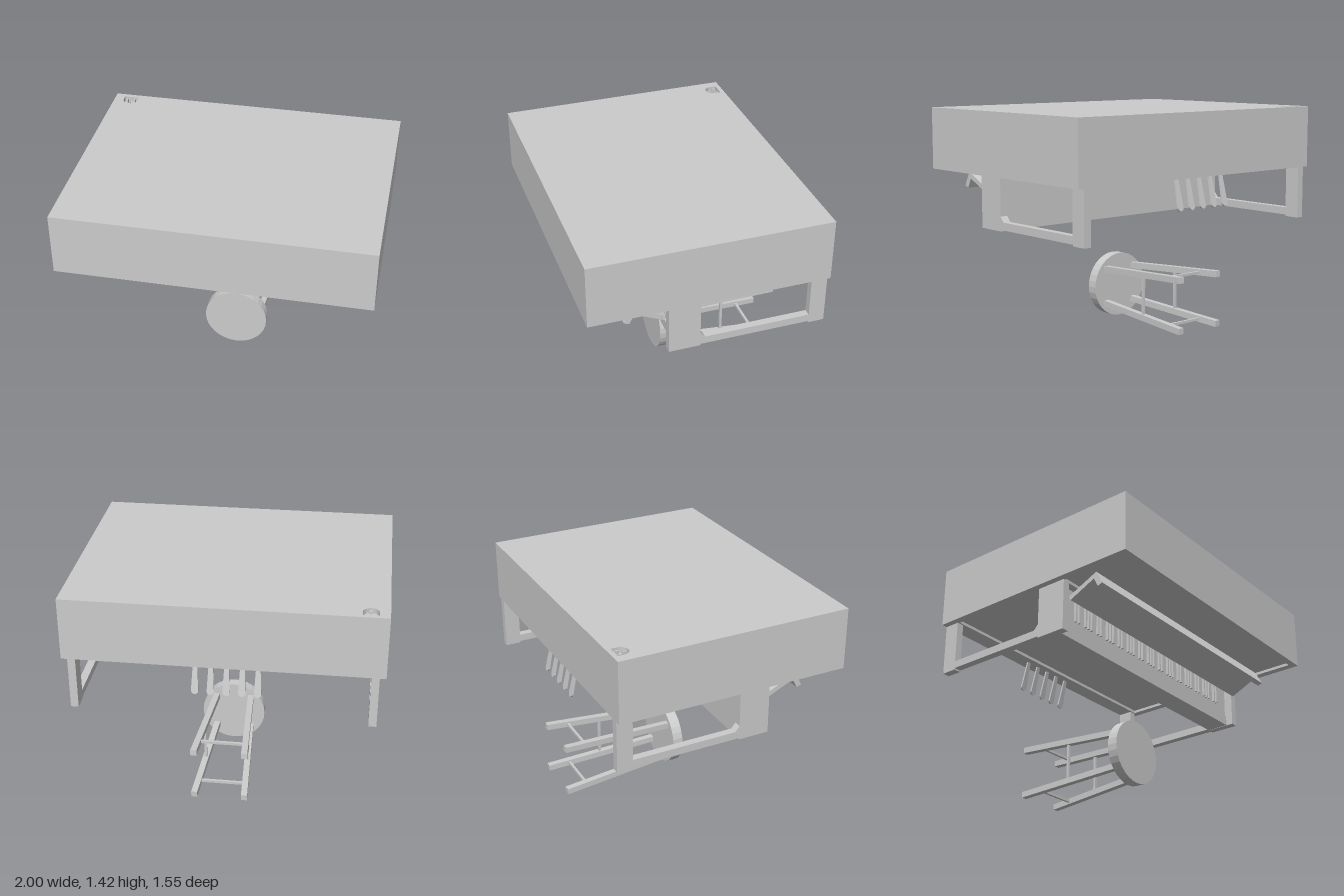
import * as THREE from 'three';

const mat = new THREE.MeshStandardMaterial({ color: 0xcccccc, flatShading: true, side: THREE.DoubleSide });

export function createModel() {
  const model = new THREE.Group();

  const add = (name, geo, parent = model) => {
    const mesh = new THREE.Mesh(geo, mat);
    mesh.name = name;
    parent.add(mesh);
    return mesh;
  };
  // Box given by its limits on each axis
  const block = (name, x0, x1, y0, y1, z0, z1, parent) =>
    add(name, new THREE.BoxGeometry(x1 - x0, y1 - y0, z1 - z0), parent)
      .position.set((x0 + x1) / 2, (y0 + y1) / 2, (z0 + z1) / 2);
  // Square bar running between two points
  const bar = (name, a, b, t, parent) => {
    const mesh = add(name, new THREE.BoxGeometry(t, t, a.distanceTo(b)), parent);
    mesh.position.copy(a).add(b).multiplyScalar(0.5);
    mesh.lookAt(b);
  };
  const poly = (pts) => new THREE.Shape(pts.map(([a, b]) => new THREE.Vector2(a, b)));
  const rect = (x0, x1, z0, z1) => poly([[x0, z0], [x1, z0], [x1, z1], [x0, z1]]);
  // Shape in (x, z), extruded downwards from height top
  const plate = (name, shape, top, depth) =>
    add(name, new THREE.ExtrudeGeometry(shape, { depth, bevelEnabled: false, curveSegments: 8 })
      .rotateX(Math.PI / 2).translate(0, top, 0));
  // Profile in (z, y), extruded across x0..x1
  const across = (name, pts, x0, x1, parent) =>
    add(name, new THREE.ExtrudeGeometry(poly(pts), { depth: x1 - x0, bevelEnabled: false })
      .rotateY(-Math.PI / 2).translate(x1, 0, 0), parent);

  // Case: solid core, back board with a socket recess, front frame with sunk panels
  block('caseCore', -1, 1, 1.035, 1.39, -0.775, 0.775);
  const board = rect(-1, 1, -0.775, 0.775);
  const socket = new THREE.Path();
  socket.moveTo(-0.935, -0.745).lineTo(-0.835, -0.745).lineTo(-0.835, -0.705);
  socket.absarc(-0.885, -0.705, 0.05, 0, Math.PI, false);
  socket.closePath();
  board.holes.push(socket);
  plate('backBoard', board, 1.425, 0.035);
  const frame = rect(-1, 1, -0.775, 0.775);
  frame.holes.push(rect(-0.95, 0.95, -0.66, 0.06), rect(-0.95, 0.95, 0.25, 0.73));
  plate('frontFrame', frame, 1.035, 0.02);

  // Socket contacts
  for (const x of [-0.91, -0.86]) block('socketBlade', x - 0.004, x + 0.004, 1.385, 1.42, -0.735, -0.705);
  block('socketGroundPin', -0.89, -0.88, 1.385, 1.42, -0.695, -0.668);

  // Cheeks, legs and toe blocks on both sides
  for (const [side, x0, x1] of [['left', 0.91, 0.96], ['right', -0.96, -0.91]]) {
    const group = new THREE.Group();
    group.name = side + 'Support';
    model.add(group);
    block('cheek', x0, x1, 0.67, 1.015, 0.055, 0.26, group);
    block('toeBlock', x0, x1, 0.67, 1.015, -0.775, -0.67, group);
    across('leg', [[-0.67, 0.68], [0.055, 0.68], [0.055, 0.765], [0.025, 0.73], [-0.67, 0.73]], x0, x1, group);
  }

  // Keyboard
  block('keyBed', -0.91, 0.91, 0.672, 1.015, 0.055, 0.17);
  block('keySlip', -0.91, 0.91, 0.672, 0.74, 0.17, 0.21);
  block('whiteKeys', -0.91, 0.91, 0.742, 1.015, 0.17, 0.2);
  const octave = 0.2193;
  for (let k = 0; k < 8; k++) {
    const offsets = k < 7 ? [0, 0.032, 0.096, 0.127, 0.157] : [0, 0.032];
    for (const o of offsets) {
      const x = -0.782 + k * octave + o;
      block('blackKey', x - 0.006, x + 0.006, 0.805, 0.95, 0.195, 0.218);
    }
  }

  // Open key cover with its bent lip
  across('keyCover', [[0.263, 0.912], [0.275, 0.882], [0.46, 0.968], [0.492, 0.905], [0.526, 0.917], [0.478, 1.01]], -0.91, 0.91);

  // Pedals: flat tongues that widen towards a rounded tip
  const tongue = new THREE.Shape();
  tongue.moveTo(-0.012, 0.03).lineTo(-0.022, -0.17);
  tongue.absarc(0, -0.18, 0.023, Math.PI, Math.PI * 2, false);
  tongue.lineTo(0.012, 0.03);
  const pedalGeo = new THREE.ExtrudeGeometry(tongue, { depth: 0.012, bevelEnabled: false, curveSegments: 6 });
  for (let i = 0; i < 5; i++) {
    const pedal = add('pedal', pedalGeo);
    pedal.position.set(0.17 - i * 0.098, 1.01, -0.715);
    pedal.rotation.x = 0.22;
  }

  // Stool, with its seat facing the front
  const stool = new THREE.Group();
  stool.name = 'stool';
  stool.position.set(0.02, 0.217, 0);
  model.add(stool);
  add('seat', new THREE.CylinderGeometry(0.215, 0.215, 0.07, 32).rotateX(Math.PI / 2), stool).position.z = 0.035;
  const spread = (z) => 0.118 - z * 0.058;
  const at = (sx, sy, z) => new THREE.Vector3(sx * spread(z), sy * spread(z), z);
  // Bars are aimed inside an unshifted group, so the shift is applied afterwards
  stool.position.set(0, 0, 0);
  for (const s of [-1, 1]) {
    for (const t of [-1, 1]) bar('stoolLeg', at(s, t, 0.005), at(s, t, -0.777), 0.04, stool);
    bar('sideRung', at(s, -1, -0.4), at(s, 1, -0.4), 0.017, stool);
    bar('crossRung', at(-1, s, -0.63), at(1, s, -0.63), 0.017, stool);
  }
  stool.position.set(0.02, 0.217, 0);

  return model;
}
